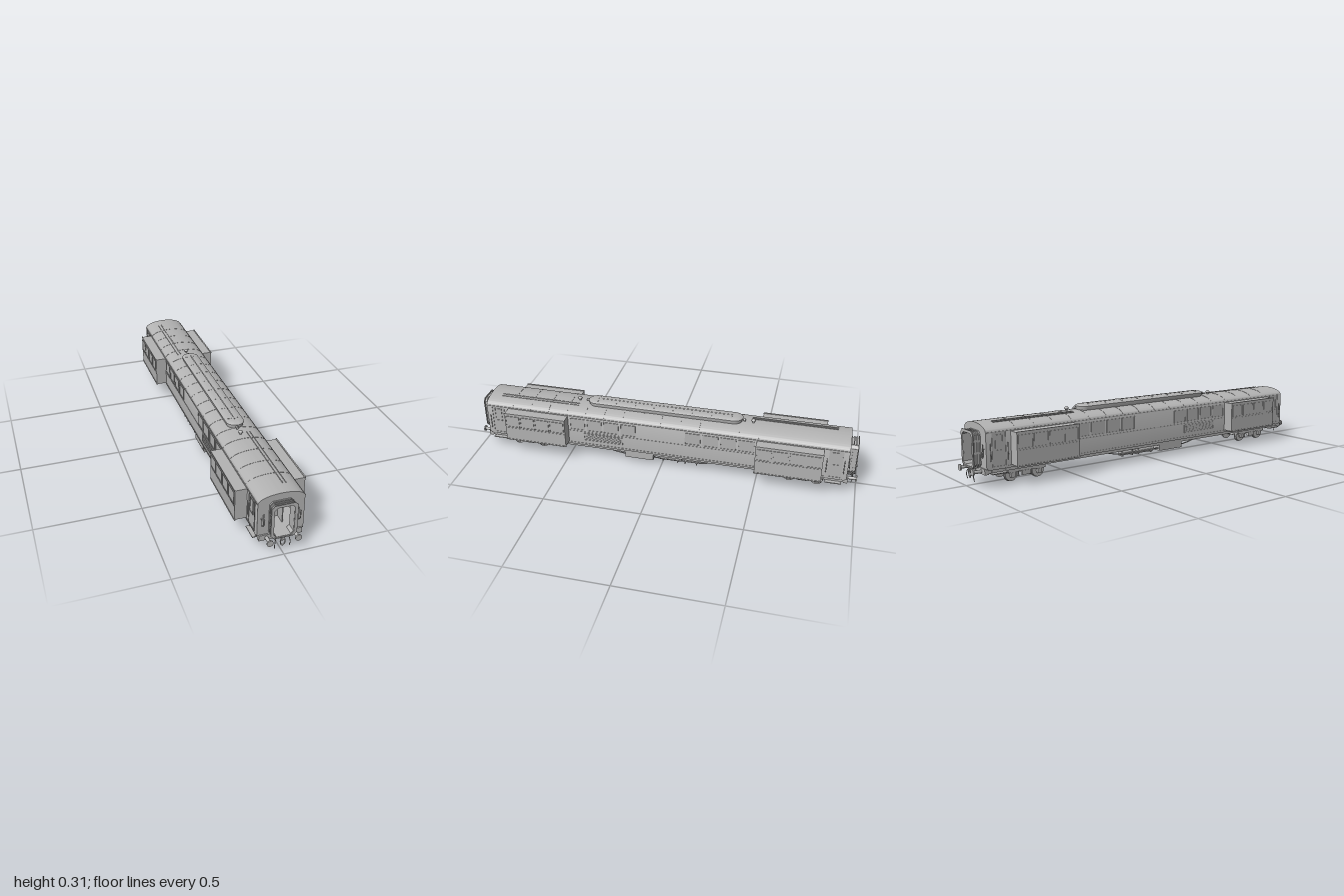
import * as THREE from 'three';
import { toCreasedNormals } from 'three/addons/utils/BufferGeometryUtils.js';

const grey = new THREE.MeshStandardMaterial({ color: 0xb4b4b4, side: THREE.DoubleSide });
grey.name = 'plain grey';

function add(parent, name, geo, x = 0, y = 0, z = 0) {
  const m = new THREE.Mesh(geo, grey);
  m.name = name;
  m.position.set(x, y, z);
  parent.add(m);
  return m;
}
// box given by its min and max on each axis
const box = (p, name, x0, x1, y0, y1, z0, z1) =>
  add(p, name, new THREE.BoxGeometry(Math.abs(x1 - x0), y1 - y0, Math.abs(z1 - z0)), (x0 + x1) / 2, (y0 + y1) / 2, (z0 + z1) / 2);
// cylinder lying along an axis
function rod(p, name, r, len, axis, x, y, z, seg = 16) {
  const m = add(p, name, new THREE.CylinderGeometry(r, r, len, seg), x, y, z);
  if (axis === 'x') m.rotation.z = Math.PI / 2;
  if (axis === 'z') m.rotation.x = Math.PI / 2;
  return m;
}
function tube(p, name, pts, r, closed = false) {
  const curve = new THREE.CatmullRomCurve3(pts.map(a => new THREE.Vector3(...a)), closed, 'catmullrom', 0.2);
  return add(p, name, new THREE.TubeGeometry(curve, pts.length * 5, r, 6, closed));
}
// carriage cross-section: straight sides under an elliptical roof
function section(w, bottom, eave, rise) {
  const s = new THREE.Shape();
  s.moveTo(-w, bottom);
  s.lineTo(w, bottom);
  s.lineTo(w, eave);
  s.absellipse(0, eave, w, rise, 0, Math.PI, false);
  s.closePath();
  return s;
}
// doorway outline with chamfered corners
function portal(w, y0, y1, c) {
  return new THREE.Shape([[-w + c, y0], [w - c, y0], [w, y0 + c], [w, y1 - c], [w - c, y1], [-w + c, y1], [-w, y1 - c], [-w, y0 + c]]
    .map(a => new THREE.Vector2(...a)));
}
function extrude(p, name, shape, z0, z1, hole) {
  if (hole) shape.holes.push(hole);
  const g = new THREE.ExtrudeGeometry(shape, { depth: z1 - z0, bevelEnabled: false, curveSegments: 24 });
  return add(p, name, toCreasedNormals(g, 0.5), 0, 0, z0);
}
// framed window on a side wall at x, sd = -1 or 1
function sideWindow(p, name, sd, x, y0, y1, z0, z1, t = 0.003) {
  const o = x + sd * 0.003;
  box(p, name + 'Pane', x, x + sd * 0.001, y0, y1, z0, z1);
  box(p, name + 'FrameBottom', x, o, y0, y0 + t, z0, z1);
  box(p, name + 'FrameTop', x, o, y1 - t, y1, z0, z1);
  box(p, name + 'FrameRear', x, o, y0, y1, z0, z0 + t);
  box(p, name + 'FrameFront', x, o, y0, y1, z1 - t, z1);
}

// raised roof duct lofted from stadium outlines [half width, height]
function roofDuct() {
  const levels = [[0.034, 0.27], [0.044, 0.3], [0.044, 0.304], [0.034, 0.31], [0.018, 0.312], [0.001, 0.313]];
  const n = 32, pos = [], idx = [];
  for (const [w, y] of levels) for (let i = 0; i < n; i++) {
    const a = (i + 0.5) / n * Math.PI * 2;
    pos.push(Math.cos(a) * w, y, Math.sin(a) * w + Math.sign(Math.sin(a)) * 0.363);
  }
  for (let l = 0; l < levels.length - 1; l++) for (let i = 0; i < n; i++) {
    const a = l * n + i, b = l * n + (i + 1) % n;
    idx.push(a, a + n, b, b, a + n, b + n);
  }
  const g = new THREE.BufferGeometry();
  g.setAttribute('position', new THREE.Float32BufferAttribute(pos, 3));
  g.setIndex(idx);
  return toCreasedNormals(g, 0.5);
}

function bogie(p, zc) {
  const g = new THREE.Group();
  g.name = 'bogie';
  g.position.z = zc;
  p.add(g);
  for (const z of [-0.07, 0.07]) {
    rod(g, 'axle', 0.006, 0.15, 'x', 0, 0.033, z);
    for (const s of [-1, 1]) {
      rod(g, 'wheelTread', 0.03, 0.012, 'x', s * 0.056, 0.033, z, 28);
      rod(g, 'wheelFlange', 0.033, 0.003, 'x', s * 0.049, 0.033, z, 28);
      rod(g, 'wheelHub', 0.01, 0.004, 'x', s * 0.063, 0.033, z);
      box(g, 'axleBox', s * 0.068, s * 0.082, 0.024, 0.046, z - 0.011, z + 0.011);
      box(g, 'axleSpring', s * 0.07, s * 0.08, 0.046, 0.055, z - 0.022, z + 0.022);
      box(g, 'brakeShoe', s * 0.05, s * 0.062, 0.02, 0.05, z * 0.46 - 0.003, z * 0.46 + 0.003);
    }
  }
  for (const s of [-1, 1]) {
    box(g, 'sideFrame', s * 0.07, s * 0.08, 0.048, 0.062, -0.1, 0.1);
    for (const e of [-1, 1]) box(g, 'frameCrossbar', -0.075, 0.075, 0.046, 0.056, e * 0.1 - 0.004, e * 0.1 + 0.004);
    box(g, 'boltSpring', s * 0.066, s * 0.082, 0.028, 0.05, -0.022, 0.022);
  }
  box(g, 'bolster', -0.075, 0.075, 0.035, 0.068, -0.018, 0.018);
}

// everything at one end, facing +z
function carriageEnd() {
  const g = new THREE.Group();
  g.name = 'carriageEnd';
  extrude(g, 'endWall', section(0.107, 0.085, 0.25, 0.036), 0.938, 0.948, portal(0.045, 0.092, 0.242, 0.012));
  box(g, 'vestibulePartition', -0.046, 0.028, 0.088, 0.25, 0.845, 0.85);
  box(g, 'vestibuleDoorRail', -0.044, 0.026, 0.163, 0.168, 0.85, 0.856);
  box(g, 'openInnerDoor', 0.028, 0.032, 0.09, 0.235, 0.85, 0.9);
  // gangway bellows
  for (let i = 0; i < 6; i++) {
    const k = i % 2 ? 0.004 : 0;
    extrude(g, 'bellowsFold', portal(0.055 - k, 0.086 + k, 0.252 - k, 0.014), 0.948 + i * 0.006, 0.954 + i * 0.006, portal(0.045, 0.092, 0.242, 0.012));
  }
  extrude(g, 'gangwayFacePlate', portal(0.06, 0.086, 0.255, 0.014), 0.984, 0.988, portal(0.046, 0.092, 0.242, 0.012));
  box(g, 'gangwayFootplate', -0.045, 0.045, 0.084, 0.09, 0.94, 0.99);
  // buffers and coupling
  box(g, 'bufferBeam', -0.1, 0.1, 0.06, 0.087, 0.935, 0.955);
  for (const s of [-1, 1]) {
    rod(g, 'bufferShank', 0.008, 0.045, 'z', s * 0.065, 0.072, 0.972);
    rod(g, 'bufferHead', 0.015, 0.006, 'z', s * 0.065, 0.072, 0.997, 24);
    tube(g, 'brakeHose', [[s * 0.03, 0.07, 0.955], [s * 0.032, 0.066, 0.975], [s * 0.036, 0.045, 0.98], [s * 0.034, 0.022, 0.975]], 0.002);
    tube(g, 'jumperCable', [[s * 0.09, 0.178, 0.948], [s * 0.09, 0.172, 0.954], [s * 0.088, 0.14, 0.955], [s * 0.08, 0.136, 0.955], [s * 0.076, 0.15, 0.955], [s * 0.077, 0.178, 0.948]], 0.0018);
    box(g, 'endHandrail', s * 0.08 - 0.002, s * 0.08 + 0.002, 0.14, 0.195, 0.95, 0.953);
    // entrance door and steps
    sideWindow(g, 'entranceDoor', s, s * 0.107, 0.092, 0.252, 0.85, 0.92);
    sideWindow(g, 'doorWindow', s, s * 0.108, 0.165, 0.238, 0.866, 0.904);
    for (const z of [0.843, 0.929]) rod(g, 'doorHandrail', 0.0018, 0.08, 'y', s * 0.113, 0.16, z, 8);
    box(g, 'footstep', s * 0.085, s * 0.118, 0.06, 0.064, 0.845, 0.925);
    for (const z of [0.85, 0.92]) box(g, 'stepHanger', s * 0.098, s * 0.102, 0.062, 0.088, z - 0.002, z + 0.002);
    // slide-out saloon
    box(g, 'slideOut', s * 0.1, s * 0.163, 0.093, 0.247, 0.495, 0.825);
    box(g, 'slideOutTopLip', s * 0.159, s * 0.165, 0.244, 0.25, 0.493, 0.827);
    box(g, 'slideOutBottomRail', s * 0.158, s * 0.165, 0.09, 0.096, 0.493, 0.827);
    box(g, 'slideOutWaistRail', s * 0.163, s * 0.1645, 0.162, 0.166, 0.495, 0.825);
    for (let i = 0; i < 4; i++) sideWindow(g, 'slideOutWindow', s, s * 0.163, 0.172, 0.235, 0.502 + i * 0.081, 0.576 + i * 0.081, 0.002);
    for (const z of [0.53, 0.66, 0.79]) tube(g, 'slideOutBracket', [[s * 0.158, 0.092, z], [s * 0.09, 0.078, z]], 0.003);
  }
  box(g, 'drawHook', -0.006, 0.006, 0.064, 0.08, 0.955, 0.985);
  const link = add(g, 'couplingLink', new THREE.TorusGeometry(0.011, 0.0025, 8, 16), 0, 0.055, 0.98);
  link.scale.y = 1.7;
  // roof fittings
  rod(g, 'roofVentStem', 0.005, 0.02, 'y', -0.005, 0.29, 0.46);
  const cap = add(g, 'roofVentCap', new THREE.SphereGeometry(0.011, 16, 10), -0.005, 0.299, 0.46);
  cap.scale.y = 0.7;
  rod(g, 'endLamp', 0.007, 0.01, 'z', -0.005, 0.295, 0.415);
  for (const x of [0.03, 0.046]) rod(g, 'roofConduit', 0.002, 0.43, 'z', x, x < 0.04 ? 0.286 : 0.284, 0.665, 8);
  bogie(g, 0.735);
  return g;
}

export function createModel() {
  const model = new THREE.Group();
  model.name = 'railwayCarriage';

  // hollow body, floor and sills
  extrude(model, 'bodyShell', section(0.107, 0.08, 0.25, 0.036), -0.94, 0.94, section(0.102, 0.09, 0.248, 0.033));
  for (let i = 0; i < 17; i++) {
    const z = -0.8 + i * 0.1;
    extrude(model, 'roofRib', section(0.1078, 0.249, 0.25, 0.0372), z - 0.0015, z + 0.0015);
  }
  for (const s of [-1, 1]) {
    box(model, 'soleBar', s * 0.09, s * 0.1, 0.066, 0.082, -0.94, 0.94);
    box(model, 'centreSill', s * 0.018, s * 0.026, 0.066, 0.082, -0.94, 0.94);
    box(model, 'gutter', s * 0.106, s * 0.11, 0.248, 0.252, -0.945, 0.945);
    box(model, 'waistRail', s * 0.107, s * 0.1085, 0.16, 0.164, -0.495, 0.495);
    box(model, 'lowerRail', s * 0.107, s * 0.109, 0.088, 0.092, -0.84, 0.84);
    // four windows either side of the plain centre panel
    for (const e of [-1, 1]) for (let i = 0; i < 4; i++) {
      const zc = e * (0.17 + i * 0.091);
      sideWindow(model, 'saloonWindow', s, s * 0.107, 0.172, 0.238, zc - 0.04, zc + 0.04);
    }
    sideWindow(model, 'grilleFrame', s, s * 0.107, 0.112, 0.155, 0.2, 0.41);
    for (let i = 0; i < 4; i++) box(model, 'grilleSlat', s * 0.107, s * 0.1095, 0.118 + i * 0.008, 0.122 + i * 0.008, 0.21, 0.4);
    // trussing and underfloor tanks
    tube(model, 'trussRod', [[s * 0.088, 0.068, 0.29], [s * 0.088, 0.05, 0.2], [s * 0.088, 0.05, -0.2], [s * 0.088, 0.068, -0.29]], 0.003);
    box(model, 'equipmentBox', s * 0.045, s * 0.098, 0.035, 0.072, 0.04, 0.19);
    box(model, 'equipmentDoor', s * 0.098, s * 0.1, 0.04, 0.067, 0.05, 0.18);
    rod(model, 'airTank', 0.017, 0.12, 'z', s * 0.072, 0.053, -0.05, 20);
    rod(model, 'smallAirTank', 0.015, 0.07, 'z', s * 0.072, 0.053, -0.16, 20);
    for (const z of [-0.19, -0.13, -0.09, -0.01]) box(model, 'tankStrap', s * 0.055, s * 0.09, 0.035, 0.07, z - 0.002, z + 0.002);
  }
  for (let i = 0; i < 13; i++) {
    const z = -0.54 + i * 0.09;
    box(model, 'crossMember', -0.095, 0.095, 0.068, 0.082, z - 0.004, z + 0.004);
  }

  // roof duct with raised bands
  add(model, 'roofDuct', roofDuct());
  for (let i = 0; i < 8; i++) {
    const z = -0.35 + i * 0.1;
    box(model, 'ductBand', -0.03, 0.03, 0.306, 0.3125, z - 0.002, z + 0.002);
  }

  const front = carriageEnd(), rear = carriageEnd();
  rear.rotation.y = Math.PI;
  model.add(front, rear);
  return model;
}
